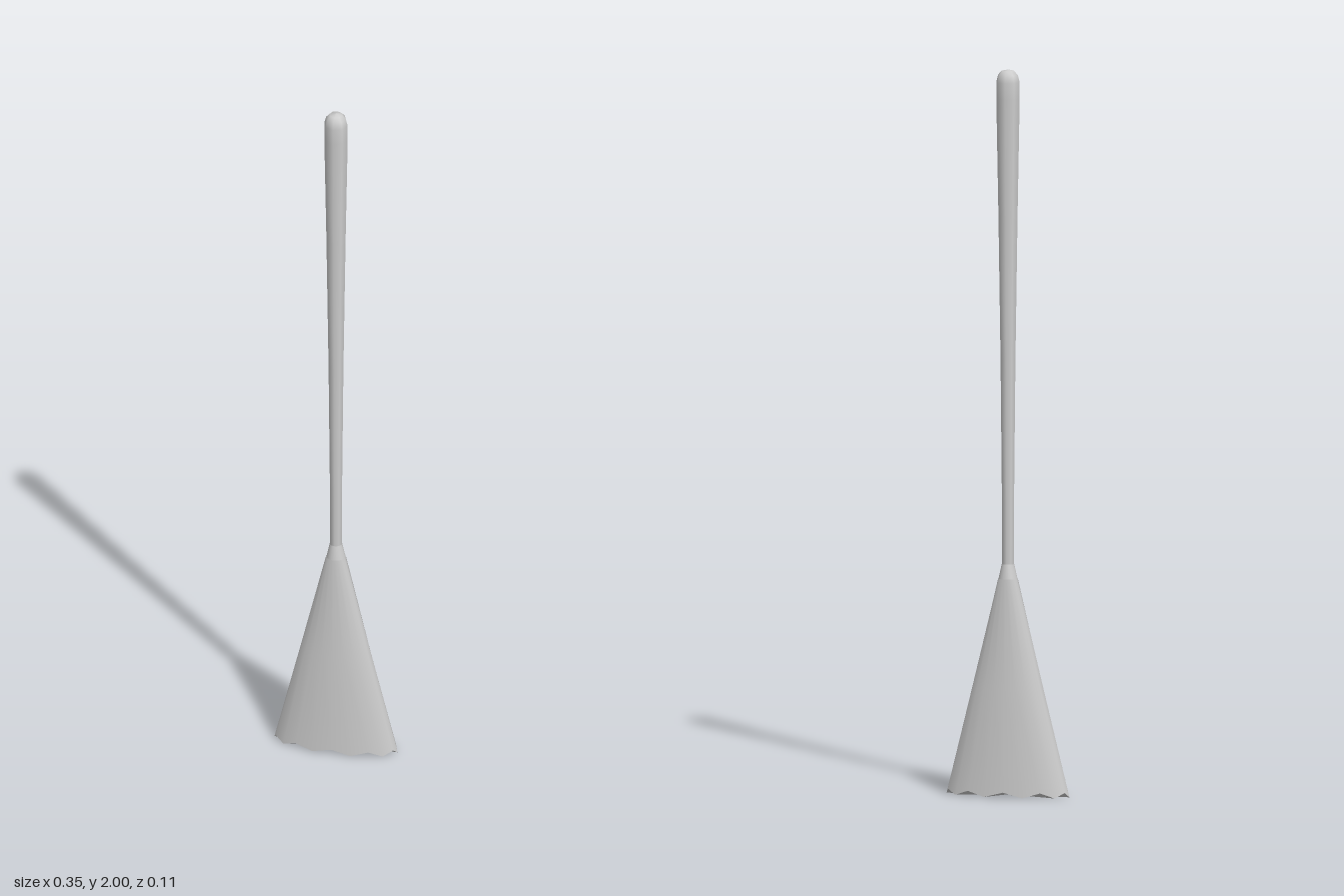
import * as THREE from 'three';

const material = new THREE.MeshStandardMaterial({ color: 0xcccccc });

// Skin of elliptical rings, listed bottom to top as [halfWidth, halfDepth, y or y(k)]
function loft(rings, sides) {
  const positions = [], index = [];
  for (const [a, b, y] of rings) {
    for (let k = 0; k < sides; k++) {
      const t = (k / sides) * Math.PI * 2;
      positions.push(a * Math.cos(t), typeof y === 'function' ? y(k) : y, b * Math.sin(t));
    }
  }
  for (let r = 0; r < rings.length - 1; r++) {
    for (let k = 0; k < sides; k++) {
      const n = (k + 1) % sides, i = r * sides, j = i + sides;
      index.push(i + k, j + k, j + n, i + k, j + n, i + n);
    }
  }
  const geometry = new THREE.BufferGeometry();
  geometry.setAttribute('position', new THREE.Float32BufferAttribute(positions, 3));
  geometry.setIndex(index);
  geometry.computeVertexNormals();
  return geometry;
}

export function createModel() {
  const group = new THREE.Group();
  const add = (name, geometry) => {
    const mesh = new THREE.Mesh(geometry, material);
    mesh.name = name;
    group.add(mesh);
  };

  // Tapered stick with a rounded top
  const profile = [
    [0.016, 0.6], [0.017, 0.8], [0.021, 1.2], [0.027, 1.6], [0.033, 1.92],
    [0.033, 1.965], [0.028, 1.985], [0.018, 1.996], [0, 2],
  ].map(([r, y]) => new THREE.Vector2(r, y));
  add('handle', new THREE.LatheGeometry(profile, 8));

  // Collar joining the stick to the bristles
  add('collar', loft([[0.027, 0.026, 0.595], [0.017, 0.017, 0.64]], 20));

  // Flared, flattened bristles with a ragged hem
  const sides = 20;
  const hem = (k) => (k % 2 ? 0.018 : 0.004);
  add('bristles', loft([
    [0.173, 0.055, hem],
    [0.1, 0.04, 0.3],
    [0.027, 0.026, 0.6],
  ], sides));

  // Underside closing the hem
  add('bristleEnds', loft([[0.001, 0.001, 0.006], [0.173, 0.055, hem]], sides));

  return group;
}
